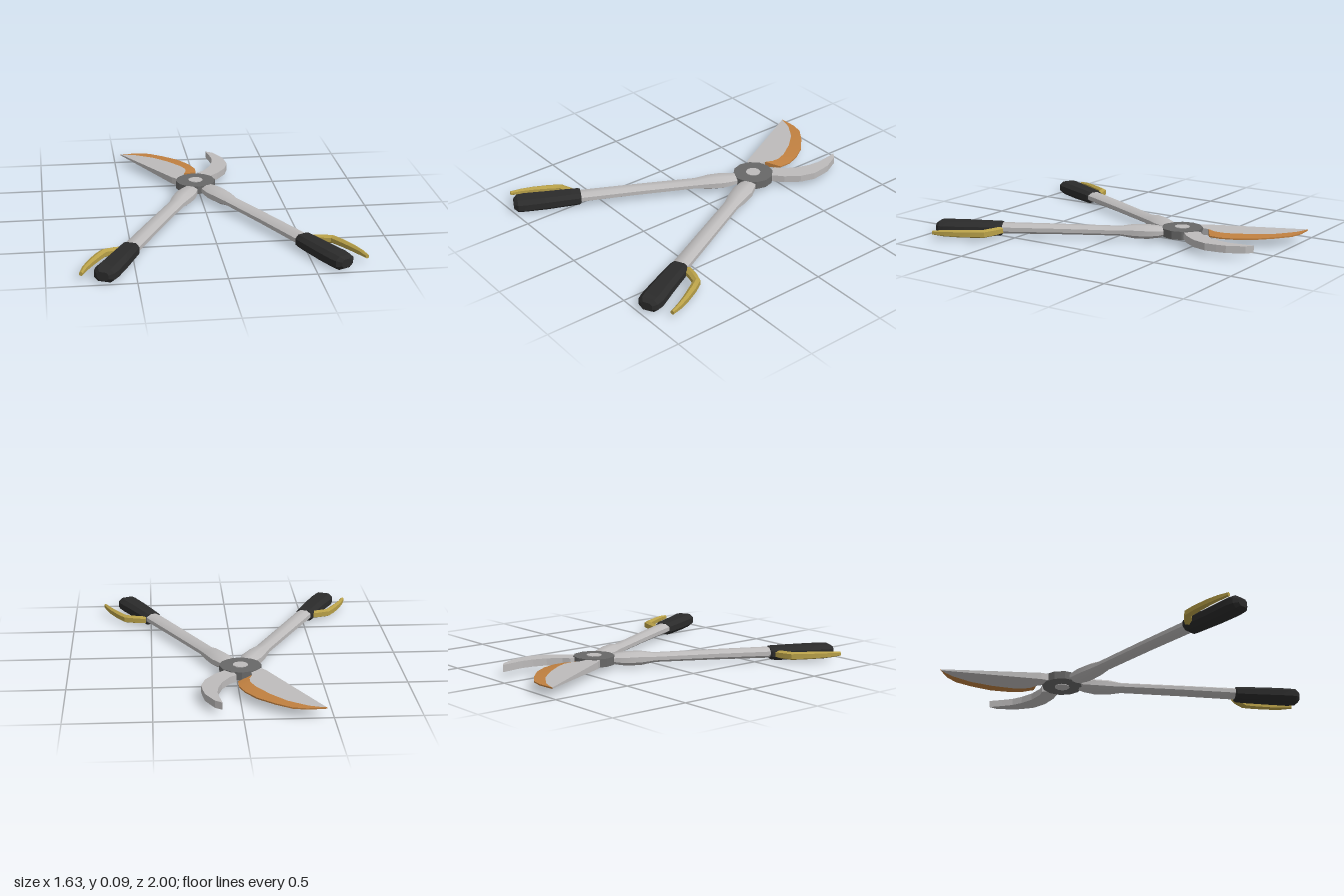
import * as THREE from 'three';
import { toCreasedNormals } from 'three/addons/utils/BufferGeometryUtils.js';

const mat = (name, color, side = THREE.FrontSide) => {
  const m = new THREE.MeshStandardMaterial({ color, side });
  m.name = name;
  return m;
};

// Builds a triangle surface from rings of equal length, with capped ends
function skin(rings, crease) {
  const n = rings[0].length, idx = [];
  for (let i = 0; i < rings.length - 1; i++) {
    for (let j = 0; j < n; j++) {
      const a = i * n + j, b = i * n + (j + 1) % n;
      idx.push(a, b, a + n, b, b + n, a + n);
    }
  }
  const last = (rings.length - 1) * n;
  for (let j = 1; j < n - 1; j++) {
    idx.push(0, j + 1, j, last, last + j, last + j + 1);
  }
  const geo = new THREE.BufferGeometry();
  geo.setAttribute('position', new THREE.Float32BufferAttribute(rings.flat(2), 3));
  geo.setIndex(idx);
  return toCreasedNormals(geo.toNonIndexed(), crease);
}

// Lofts a section along a level path; each station is [x, z, width, height, centreY]
function loft(stations, section, crease) {
  const rings = stations.map(([x, z, w, h, cy], i) => {
    const p = stations[Math.max(i - 1, 0)], q = stations[Math.min(i + 1, stations.length - 1)];
    const len = Math.hypot(q[0] - p[0], q[1] - p[1]);
    const tx = (q[0] - p[0]) / len, tz = (q[1] - p[1]) / len;
    return section.map(([u, v]) => [x + tz * u * w / 2, cy + v * h / 2, z - tx * u * w / 2]);
  });
  return skin(rings, crease);
}

// Plate with an outline in x, z
function plate(points, y0, y1) {
  const shape = new THREE.Shape(points.map(([x, z]) => new THREE.Vector2(x, -z)));
  const geo = new THREE.ExtrudeGeometry(shape, { depth: y1 - y0, bevelEnabled: false });
  return geo.rotateX(-Math.PI / 2).translate(0, y0, 0);
}

const octagon = Array.from({ length: 8 }, (_, i) => {
  const a = (i + 0.5) * Math.PI / 4, r = 1 / Math.cos(Math.PI / 8);
  return [r * Math.cos(a), r * Math.sin(a)];
});
// Chunky section with chamfered corners, and a ridged one for the guards
const chamfered = [[1, -0.45], [1, 0.45], [0.6, 1], [-0.6, 1], [-1, 0.45], [-1, -0.45], [-0.6, -1], [0.6, -1]];
const ridged = [[1, -0.5], [1, 0.5], [0.1, 1], [-1, 0.6], [-1, -0.6], [0.1, -1]];

export function createModel() {
  const model = new THREE.Group();
  model.name = 'loppingShears';
  const steel = mat('steel', 0xbdbbbb);
  const darkSteel = mat('darkSteel', 0x686868);
  const copper = mat('copperEdge', 0xc08040, THREE.DoubleSide);
  const rubber = mat('blackRubber', 0x2b2b2b);
  const gold = mat('goldGuard', 0xb8a048);
  const add = (name, geo, material) => {
    const mesh = new THREE.Mesh(geo, material);
    mesh.name = name;
    model.add(mesh);
    return mesh;
  };

  // Handles, drawn for the -x side and mirrored about a line just off centre
  const arm = [
    [-0.06, -0.275, 0.09, 0.045, 0.055], [-0.075, -0.245, 0.105, 0.065, 0.052],
    [-0.105, -0.185, 0.125, 0.08, 0.05], [-0.145, -0.105, 0.112, 0.078, 0.05],
    [-0.18, -0.035, 0.09, 0.053, 0.05], [-0.35, 0.3, 0.093, 0.057, 0.05],
    [-0.513, 0.625, 0.097, 0.062, 0.047],
  ];
  const grip = [
    [-0.508, 0.61, 0.1, 0.068, 0.046], [-0.513, 0.62, 0.115, 0.076, 0.044],
    [-0.535, 0.665, 0.118, 0.08, 0.043], [-0.6, 0.8, 0.128, 0.084, 0.042],
    [-0.662, 0.92, 0.138, 0.084, 0.042], [-0.68, 0.96, 0.122, 0.08, 0.042],
    [-0.69, 0.98, 0.07, 0.05, 0.042],
  ];
  const guard = [
    [-0.535, 0.625, 0.045, 0.045, 0.043], [-0.6, 0.635, 0.045, 0.05, 0.043],
    [-0.665, 0.655, 0.042, 0.05, 0.043], [-0.705, 0.715, 0.04, 0.048, 0.043],
    [-0.755, 0.805, 0.033, 0.044, 0.043], [-0.785, 0.87, 0.026, 0.038, 0.043],
    [-0.806, 0.933, 0.02, 0.026, 0.043],
  ];
  const mirror = (stations, dx, dz) => stations.map(([x, z, ...rest]) => [dx - x, z + dz, ...rest]);
  const mirrorV = (section) => section.map(([u, v]) => [-u, v]).reverse();
  add('rightArm', loft(arm, octagon, 0.9), steel);
  add('leftArm', loft(mirror(arm, -0.02, -0.012), octagon, 0.9), steel);
  add('rightGrip', loft(grip, chamfered, 0.5), rubber);
  add('leftGrip', loft(mirror(grip, -0.02, -0.012), chamfered, 0.5), rubber);
  add('rightGuard', loft(guard, ridged, 0.4), gold);
  add('leftGuard', loft(mirror(guard, -0.003, -0.042), mirrorV(ridged), 0.4), gold);

  // Pivot disc and bolt
  const disc = (name, r, sides, y0, y1, material) => {
    const mesh = add(name, toCreasedNormals(new THREE.CylinderGeometry(r, r, y1 - y0, sides), 0.4), material);
    mesh.position.set(-0.022, (y0 + y1) / 2, -0.37);
  };
  disc('pivotDisc', 0.125, 12, 0.031, 0.081, darkSteel);
  disc('pivotBolt', 0.046, 10, 0.027, 0.085, steel);

  // Hooked anvil blade
  add('hookBlade', plate([
    [0.113, -0.932], [0.155, -0.9], [0.205, -0.8], [0.215, -0.74], [0.222, -0.67], [0.195, -0.58],
    [0.135, -0.495], [0.08, -0.445], [0.03, -0.37], [-0.03, -0.37], [0.025, -0.465], [0.01, -0.52],
    [0.05, -0.55], [0.1, -0.63], [0.125, -0.71], [0.134, -0.78], [0.126, -0.85],
  ], 0.034, 0.077), steel);

  // Cutting blade, thinning toward its tip
  const midY = 0.0555;
  const half = (z) => THREE.MathUtils.clamp(0.0215 - (-0.45 - z) * 0.033, 0.003, 0.0215);
  const inner = [
    [-0.458, -0.99], [-0.42, -0.982], [-0.36, -0.962], [-0.25, -0.89], [-0.16, -0.79],
    [-0.09, -0.685], [-0.063, -0.62], [-0.062, -0.57], [-0.08, -0.52],
  ];
  const outer = [
    [-0.462, -0.993], [-0.42, -0.996], [-0.35, -1], [-0.27, -0.982], [-0.18, -0.918],
    [-0.085, -0.83], [-0.025, -0.735], [0.005, -0.65], [0.004, -0.575],
  ];
  const body = plate([...inner, [-0.08, -0.48], [-0.02, -0.37], [-0.1, -0.37], [-0.14, -0.42], [-0.166, -0.45]], -1, 1);
  const pos = body.attributes.position;
  for (let i = 0; i < pos.count; i++) pos.setY(i, midY + pos.getY(i) * half(pos.getZ(i)));
  body.computeVertexNormals();
  add('cuttingBlade', body, steel);

  // Bevelled cutting edge on both faces of the blade
  const edge = inner.map(([x, z], i) => {
    const [ox, oz] = outer[i], h = half(z), e = Math.min(h, 0.004);
    return [[x, midY - h, z], [x, midY + h, z], [ox, midY + e, oz], [ox, midY - e, oz]];
  });
  add('cuttingEdge', skin(edge.reverse(), 0.4), copper);

  return model;
}
